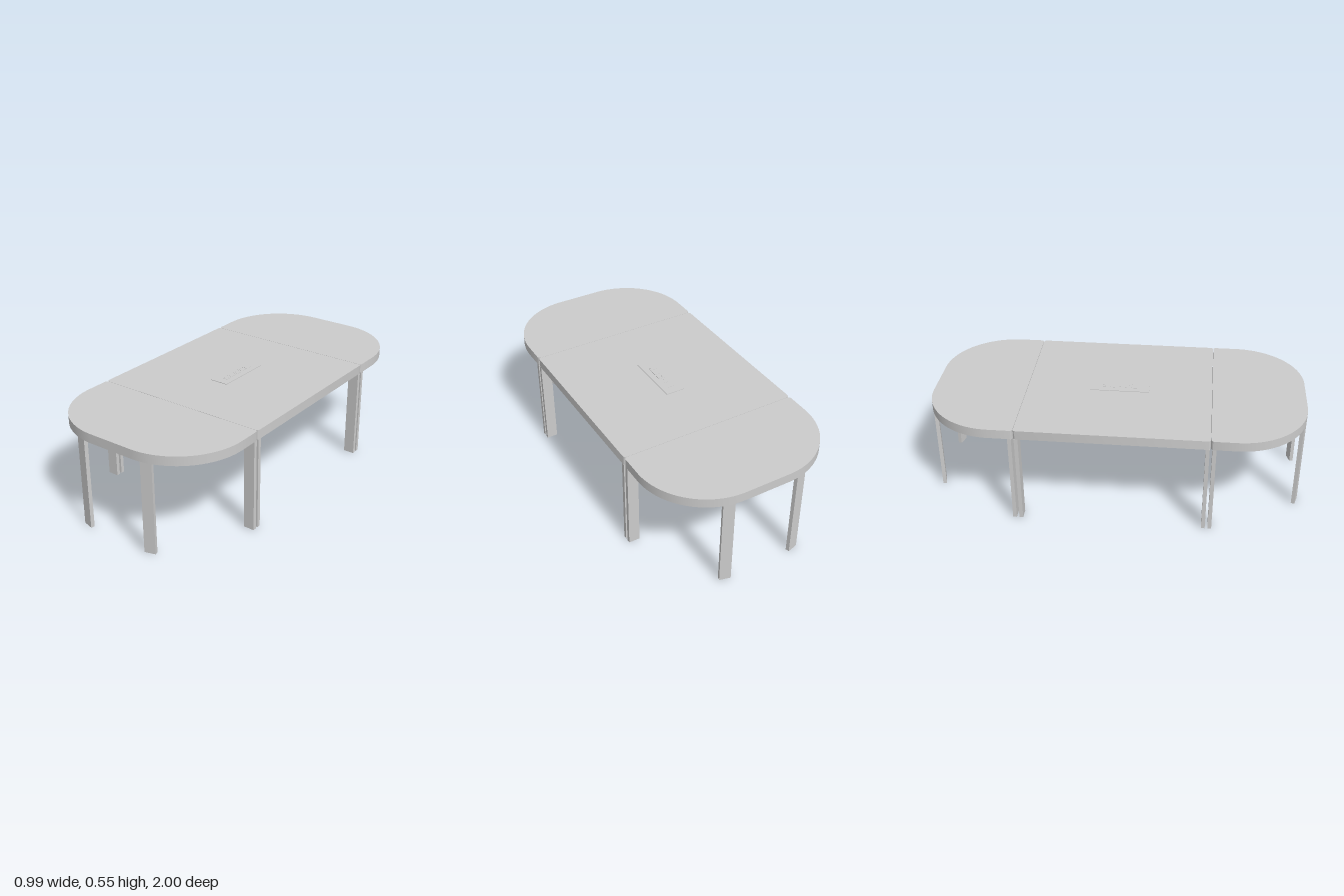
import * as THREE from 'three';
import { toCreasedNormals } from 'three/addons/utils/BufferGeometryUtils.js';

const material = new THREE.MeshStandardMaterial({ color: 0xcccccc });
const HALF_WIDTH = 0.495, TOP = 0.55, UNDER = 0.5;

function addMesh(parent, name, geometry, x = 0, y = 0, z = 0) {
  const mesh = new THREE.Mesh(geometry, material);
  mesh.name = name;
  mesh.position.set(x, y, z);
  parent.add(mesh);
  return mesh;
}

// Rectangle in plan with separate corner radii on its inner and outer ends
function slab(z0, z1, innerR, outerR, holes = []) {
  const w = HALF_WIDTH, s = new THREE.Shape();
  s.moveTo(-w + innerR, z0);
  s.lineTo(w - innerR, z0);
  s.absarc(w - innerR, z0 + innerR, innerR, -Math.PI / 2, 0);
  s.absarc(w - outerR, z1 - outerR, outerR, 0, Math.PI / 2);
  s.absarc(-w + outerR, z1 - outerR, outerR, Math.PI / 2, Math.PI);
  s.absarc(-w + innerR, z0 + innerR, innerR, Math.PI, Math.PI * 1.5);
  const g = new THREE.ExtrudeGeometry(s, { depth: TOP - UNDER, bevelEnabled: false, curveSegments: 24 });
  g.rotateX(Math.PI / 2); // plan y becomes +z, thickness hangs downwards
  return toCreasedNormals(g, 0.5);
}

// Thin plank leg, optionally turned to follow the curved edge
function addLeg(parent, name, x, z, turn = 0) {
  const leg = addMesh(parent, name, new THREE.BoxGeometry(0.06, UNDER, 0.02), x, UNDER / 2, z);
  leg.rotation.y = turn;
}

// Flat connection panel with a row of sockets
function addPowerPanel(parent) {
  const panel = new THREE.Group();
  panel.name = 'powerPanel';
  panel.position.y = TOP;
  parent.add(panel);
  addMesh(panel, 'panelPlate', new THREE.BoxGeometry(0.104, 0.003, 0.32), 0, 0.0015, 0);
  for (let i = -2; i <= 2; i++) {
    const z = i * 0.046;
    addMesh(panel, 'socket', new THREE.BoxGeometry(0.036, 0.001, 0.036), 0, 0.0035, z);
    for (const side of [-1, 1]) {
      addMesh(panel, 'socketContact', new THREE.BoxGeometry(0.004, 0.0006, 0.01), side * 0.009, 0.0042, z);
    }
    addMesh(panel, 'socketEarth', new THREE.CylinderGeometry(0.003, 0.003, 0.0006, 10), 0, 0.0042, z + 0.01);
  }
}

export function createModel() {
  const table = new THREE.Group();
  table.name = 'conferenceTable';

  // Centre section
  const centre = new THREE.Group();
  centre.name = 'centreSection';
  table.add(centre);
  addMesh(centre, 'centreTop', slab(-0.499, 0.499, 0.015, 0.015), 0, TOP, 0);
  for (const x of [-1, 1]) for (const z of [-1, 1]) addLeg(centre, 'centreLeg', x * 0.465, z * 0.485);
  addPowerPanel(centre);

  // Rounded end sections, front and back
  for (const name of ['frontSection', 'backSection']) {
    const end = new THREE.Group();
    end.name = name;
    if (name === 'backSection') end.rotation.y = Math.PI;
    table.add(end);
    addMesh(end, 'endTop', slab(0.501, 1, 0.015, 0.37), 0, TOP, 0);
    for (const side of [-1, 1]) {
      addLeg(end, 'innerLeg', side * 0.465, 0.519);
      addLeg(end, 'outerLeg', side * 0.205, 0.978, side * 0.27);
    }
  }
  return table;
}
